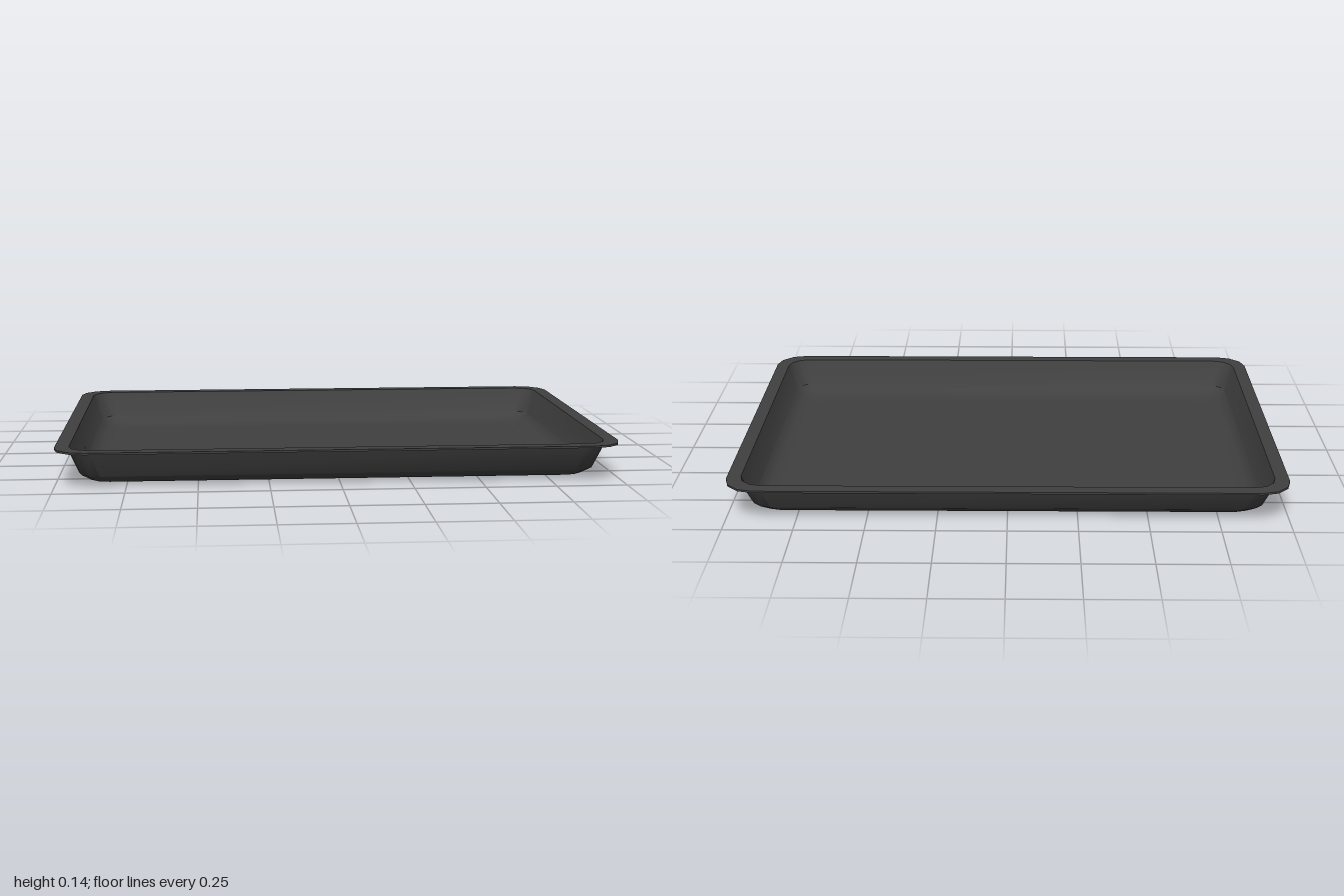
import * as THREE from 'three';
import { toCreasedNormals } from 'three/addons/utils/BufferGeometryUtils.js';

const HALF_X = 1, HALF_Z = 0.72, CORNER_STEPS = 3;

// Rounded rectangle loop at a given inset from the rim, height and corner radius
function loop([inset, y, r]) {
  const points = [];
  for (let corner = 0; corner < 4; corner++) {
    const sx = corner === 0 || corner === 3 ? 1 : -1;
    const sz = corner < 2 ? 1 : -1;
    for (let k = 0; k <= CORNER_STEPS; k++) {
      const a = (corner + k / CORNER_STEPS) * Math.PI / 2;
      points.push([
        sx * (HALF_X - inset - r) + r * Math.cos(a), y,
        sz * (HALF_Z - inset - r) + r * Math.sin(a),
      ]);
    }
  }
  return points;
}

// Skin a list of loops; optional flat caps close the first and last loop
function skin(sections, capStart, capEnd) {
  const loops = sections.map(loop);
  const n = loops[0].length;
  const pos = [];
  const tri = (a, b, c) => pos.push(...a, ...b, ...c);
  for (let i = 0; i < loops.length - 1; i++) {
    for (let j = 0; j < n; j++) {
      const k = (j + 1) % n;
      const [a, b, c, d] = [loops[i][j], loops[i][k], loops[i + 1][j], loops[i + 1][k]];
      tri(a, c, b);
      tri(b, c, d);
    }
  }
  const first = loops[0], last = loops[loops.length - 1];
  for (let j = 0; j < n; j++) {
    const k = (j + 1) % n;
    if (capStart) tri([0, first[0][1], 0], first[j], first[k]);
    if (capEnd) tri([0, last[0][1], 0], last[k], last[j]);
  }
  const geometry = new THREE.BufferGeometry();
  geometry.setAttribute('position', new THREE.Float32BufferAttribute(pos, 3));
  return toCreasedNormals(geometry, 0.6);
}

export function createModel() {
  const tray = new THREE.Group();
  tray.name = 'bakingTray';
  const darkMetal = new THREE.MeshStandardMaterial({ color: 0x404040 });
  darkMetal.name = 'darkMetal';

  const add = (name, geometry) => {
    const mesh = new THREE.Mesh(geometry, darkMetal);
    mesh.name = name;
    tray.add(mesh);
  };

  // Underside: floor, rounded foot and sloping outer wall
  add('outerShell', skin([
    [0.2, 0, 0.06], [0.165, 0, 0.07], [0.115, 0.01, 0.075],
    [0.082, 0.035, 0.075], [0.045, 0.128, 0.08],
  ], true, false));

  // Flat flange around the top: underside, thin edge and upper face
  add('rim', skin([
    [0.045, 0.128, 0.08], [0, 0.128, 0.11], [0, 0.135, 0.11], [0.05, 0.135, 0.08],
  ], false, false));

  // Inside: sloping wall, rounded foot and floor
  add('innerShell', skin([
    [0.05, 0.135, 0.08], [0.087, 0.04, 0.075], [0.118, 0.017, 0.075],
    [0.167, 0.007, 0.07], [0.2, 0.007, 0.06],
  ], false, true));

  return tray;
}
